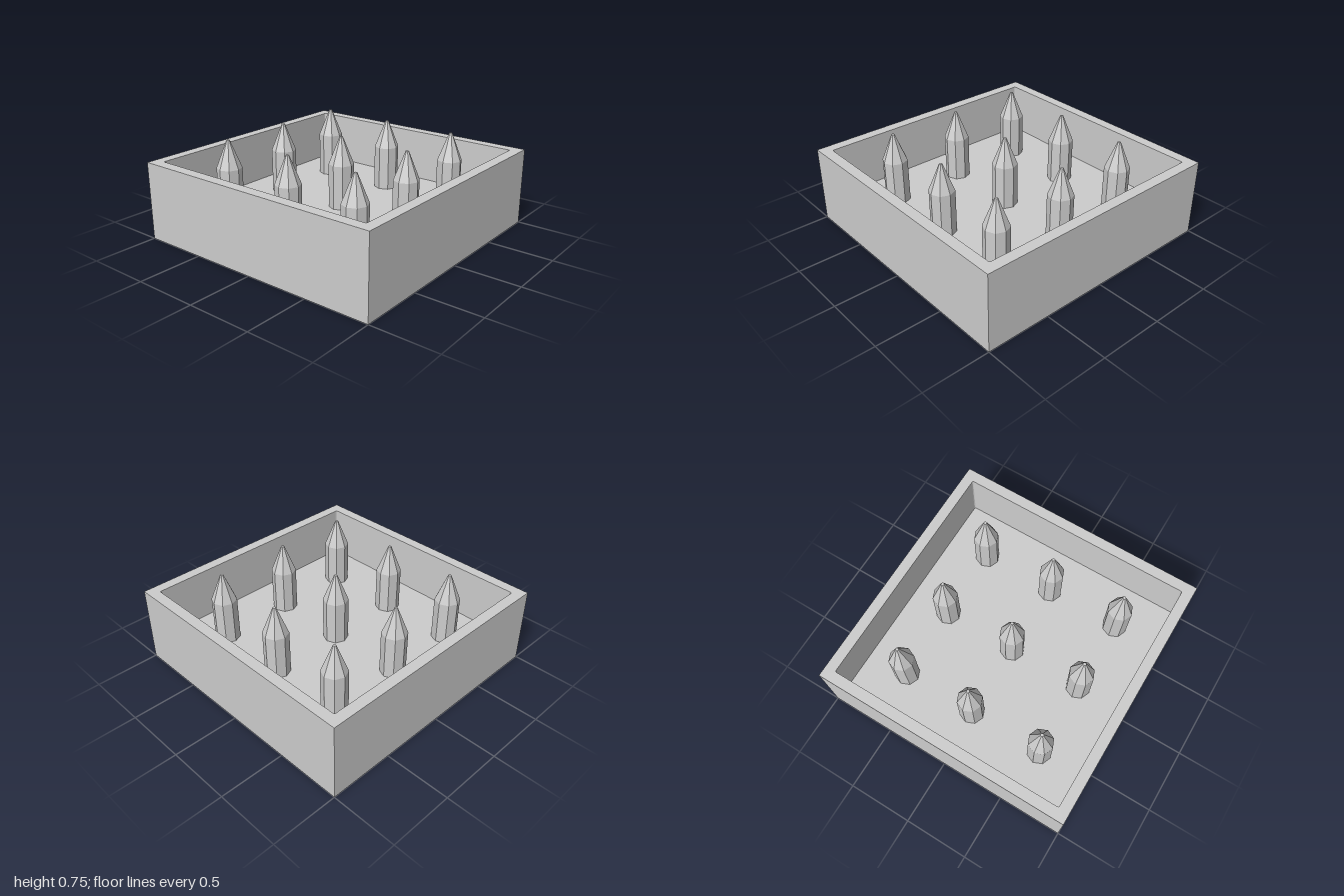
import * as THREE from 'three';

const HALF = 1, HEIGHT = 0.6, INNER = 0.917, FLOOR = 0.2, CORNER = 0.012;

// Square outline with slightly rounded corners
function roundedSquare(path, h, r) {
  path.moveTo(-h + r, -h);
  path.lineTo(h - r, -h);
  path.quadraticCurveTo(h, -h, h, -h + r);
  path.lineTo(h, h - r);
  path.quadraticCurveTo(h, h, h - r, h);
  path.lineTo(-h + r, h);
  path.quadraticCurveTo(-h, h, -h, h - r);
  path.lineTo(-h, -h + r);
  path.quadraticCurveTo(-h, -h, -h + r, -h);
  return path;
}

// Extrude a plan outline upward from y = 0
function extrudeUp(shape, depth) {
  return new THREE.ExtrudeGeometry(shape, { depth, bevelEnabled: false, curveSegments: 3 })
    .rotateX(-Math.PI / 2);
}

export function createModel() {
  const model = new THREE.Group();
  const grey = new THREE.MeshStandardMaterial({ color: 0xcccccc, flatShading: true });
  grey.name = 'light grey';

  const add = (parent, name, geometry, y = 0) => {
    const mesh = new THREE.Mesh(geometry, grey);
    mesh.name = name;
    mesh.position.y = y;
    parent.add(mesh);
  };

  // Square pit: walls around a thick floor
  const outline = new THREE.Shape([
    new THREE.Vector2(-HALF, -HALF), new THREE.Vector2(HALF, -HALF),
    new THREE.Vector2(HALF, HALF), new THREE.Vector2(-HALF, HALF),
  ]);
  outline.holes.push(roundedSquare(new THREE.Path(), INNER, CORNER));
  add(model, 'walls', extrudeUp(outline, HEIGHT));
  add(model, 'floor', extrudeUp(roundedSquare(new THREE.Shape(), INNER, CORNER), FLOOR));

  // Three by three grid of eight-sided spikes
  const radius = 0.095, shoulder = 0.54, tip = 0.75;
  const shaft = new THREE.CylinderGeometry(radius, radius, shoulder - FLOOR, 8, 1, true);
  const point = new THREE.CylinderGeometry(0.012, radius, tip - shoulder, 8);
  for (const x of [-0.583, 0, 0.583]) {
    for (const z of [-0.587, 0, 0.587]) {
      const spike = new THREE.Group();
      spike.name = 'spike';
      spike.position.set(x, 0, z);
      add(spike, 'spikeShaft', shaft, (FLOOR + shoulder) / 2);
      add(spike, 'spikePoint', point, (shoulder + tip) / 2);
      model.add(spike);
    }
  }
  return model;
}
